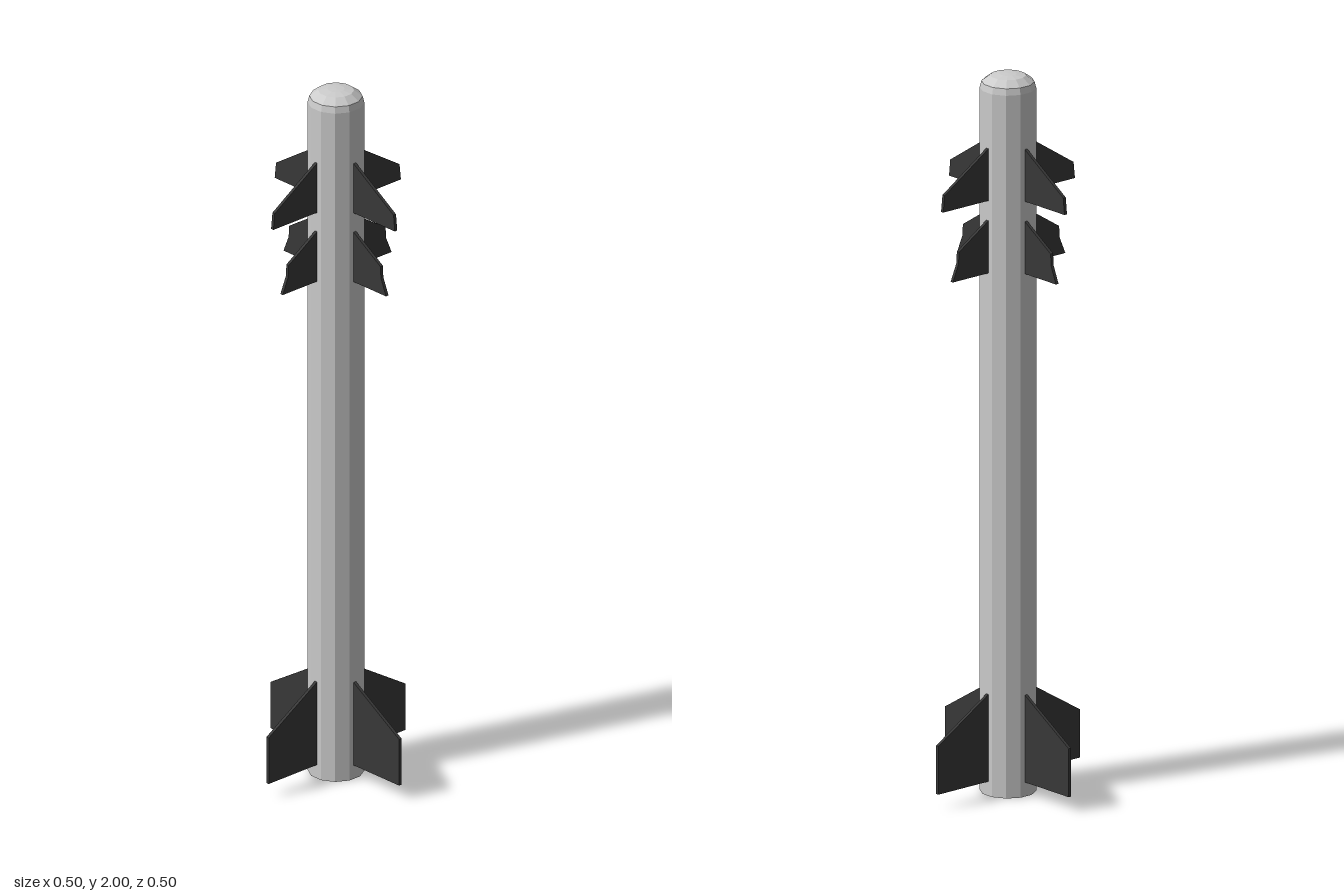
import * as THREE from 'three';

const SIDES = 12;

export function createModel() {
  const model = new THREE.Group();
  const grey = new THREE.MeshStandardMaterial({ color: 0xcccccc, flatShading: true });
  const dark = new THREE.MeshStandardMaterial({ color: 0x383838, flatShading: true });

  // Faceted tube with a rounded nose and a recessed exhaust, a flat facing each axis
  const profile = [
    [0, 0.06], [0.036, 0.06], [0.046, 0], [0.0755, 0], [0.0755, 1.96],
    [0.071, 1.978], [0.048, 1.995], [0.023, 1.999], [0, 2],
  ].map(([r, y]) => new THREE.Vector2(r, y));
  const body = new THREE.Mesh(new THREE.LatheGeometry(profile, SIDES, Math.PI / SIDES), grey);
  body.name = 'body';
  model.add(body);

  // Fin outlines as [distance from axis, height], rooted inside the body
  const outlines = {
    tailFin: [[0.06, 0.04], [0.25, 0.04], [0.25, 0.175], [0.073, 0.283], [0.06, 0.283]],
    middleFin: [[0.06, 1.458], [0.199, 1.458], [0.179, 1.505], [0.177, 1.538], [0.073, 1.604], [0.06, 1.604]],
    upperFin: [[0.06, 1.66], [0.233, 1.66], [0.228, 1.706], [0.073, 1.805], [0.06, 1.805]],
  };
  const thickness = 0.009;

  // Each set has four fins in a cross
  for (const [name, points] of Object.entries(outlines)) {
    const shape = new THREE.Shape(points.map(([x, y]) => new THREE.Vector2(x, y)));
    const geometry = new THREE.ExtrudeGeometry(shape, { depth: thickness, bevelEnabled: false });
    geometry.translate(0, 0, -thickness / 2);
    const set = new THREE.Group();
    set.name = name + 'Set';
    for (let i = 0; i < 4; i++) {
      const fin = new THREE.Mesh(geometry, dark);
      fin.name = name;
      fin.rotation.y = (i * Math.PI) / 2;
      set.add(fin);
    }
    model.add(set);
  }
  return model;
}
